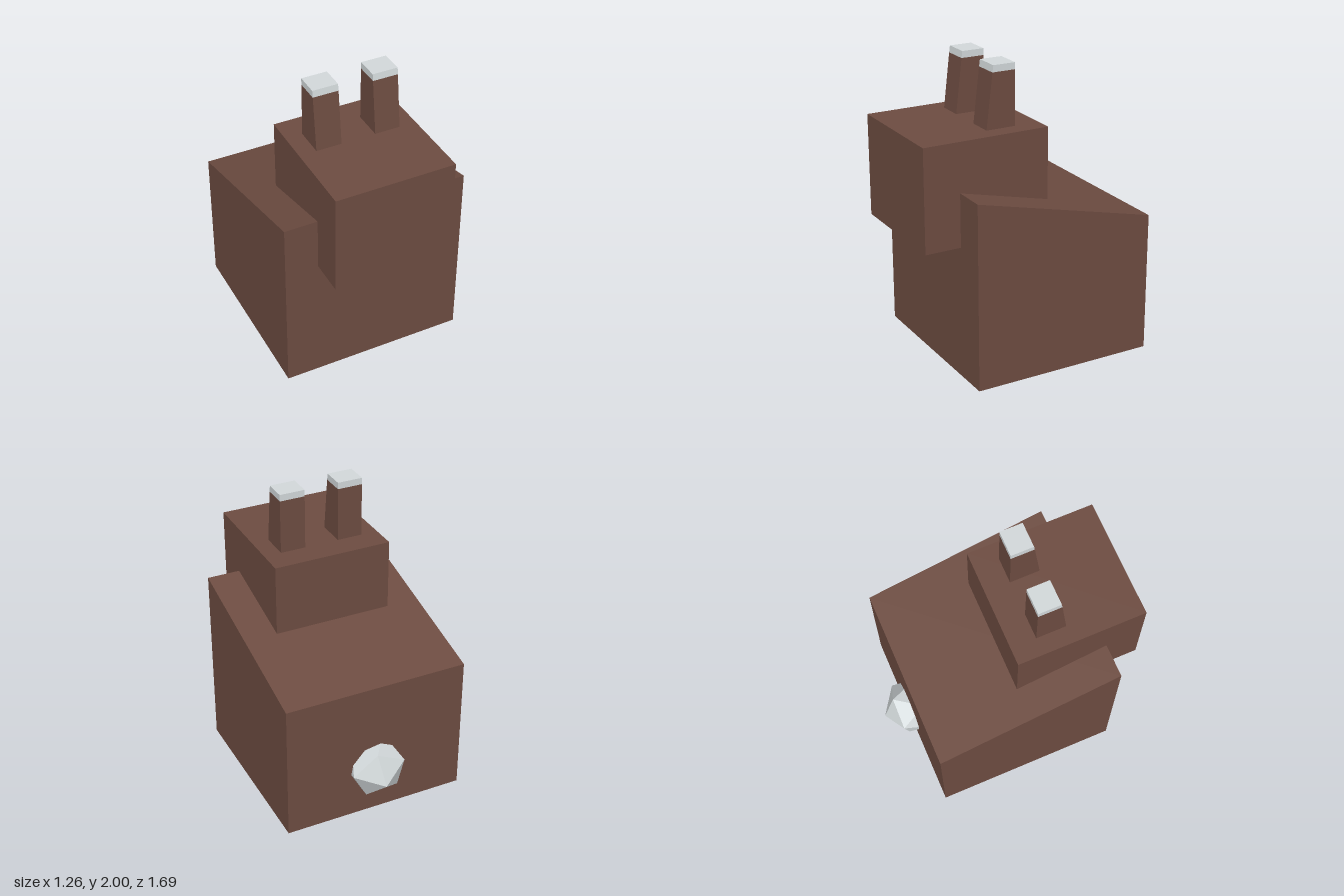
import * as THREE from 'three';

const brown = new THREE.MeshStandardMaterial({ color: 0x6d4c41 });
brown.name = 'brown fur';
const white = new THREE.MeshStandardMaterial({ color: 0xd2d8da });
white.name = 'pale fur';

// Side profile of [z, y] points, extruded across x and centred on x
function prism(name, profile, width, x, material) {
  const shape = new THREE.Shape(profile.map(([z, y]) => new THREE.Vector2(z, y)));
  const geometry = new THREE.ExtrudeGeometry(shape, { depth: width, bevelEnabled: false });
  geometry.translate(0, 0, -width / 2).rotateY(-Math.PI / 2);
  const mesh = new THREE.Mesh(geometry, material);
  mesh.name = name;
  mesh.position.x = x;
  return mesh;
}

function createTail() {
  // Tilted icosahedron, half sunk into the back
  const mesh = new THREE.Mesh(new THREE.IcosahedronGeometry(0.208, 0), white);
  const edge = new THREE.Vector3(-0.025, -0.2, -0.085).normalize();
  const side = new THREE.Vector3().crossVectors(edge, new THREE.Vector3(0.03, 0.065, -0.162)).normalize();
  const out = new THREE.Vector3().crossVectors(side, edge);
  mesh.quaternion.setFromRotationMatrix(new THREE.Matrix4().makeBasis(edge, out, side));
  mesh.position.set(-0.002, 0.335, -0.64);
  mesh.name = 'tail';
  return mesh;
}

export function createModel() {
  const model = new THREE.Group();
  model.name = 'blockRabbit';

  // Body with a back that slopes down to the rear
  model.add(prism('body', [[-0.66, 0], [0.6, 0], [0.6, 1.26], [-0.66, 0.95]], 1.26, 0, brown));

  const head = new THREE.Mesh(new THREE.BoxGeometry(0.81, 0.69, 0.87), brown);
  head.position.set(0, 1.245, 0.41);
  head.name = 'head';
  model.add(head);

  // Ears taper at the front and end in pale tips
  for (const [name, s] of [['left', 1], ['right', -1]]) {
    const ear = new THREE.Group();
    ear.name = name + 'Ear';
    ear.add(
      prism(name + 'EarBase', [[0.147, 1.59], [0.35, 1.59], [0.306, 1.955], [0.147, 1.955]], 0.172, s * 0.203, brown),
      prism(name + 'EarTip', [[0.147, 1.955], [0.306, 1.955], [0.3, 2], [0.147, 2]], 0.172, s * 0.203, white),
    );
    model.add(ear);
  }

  model.add(createTail());
  return model;
}
